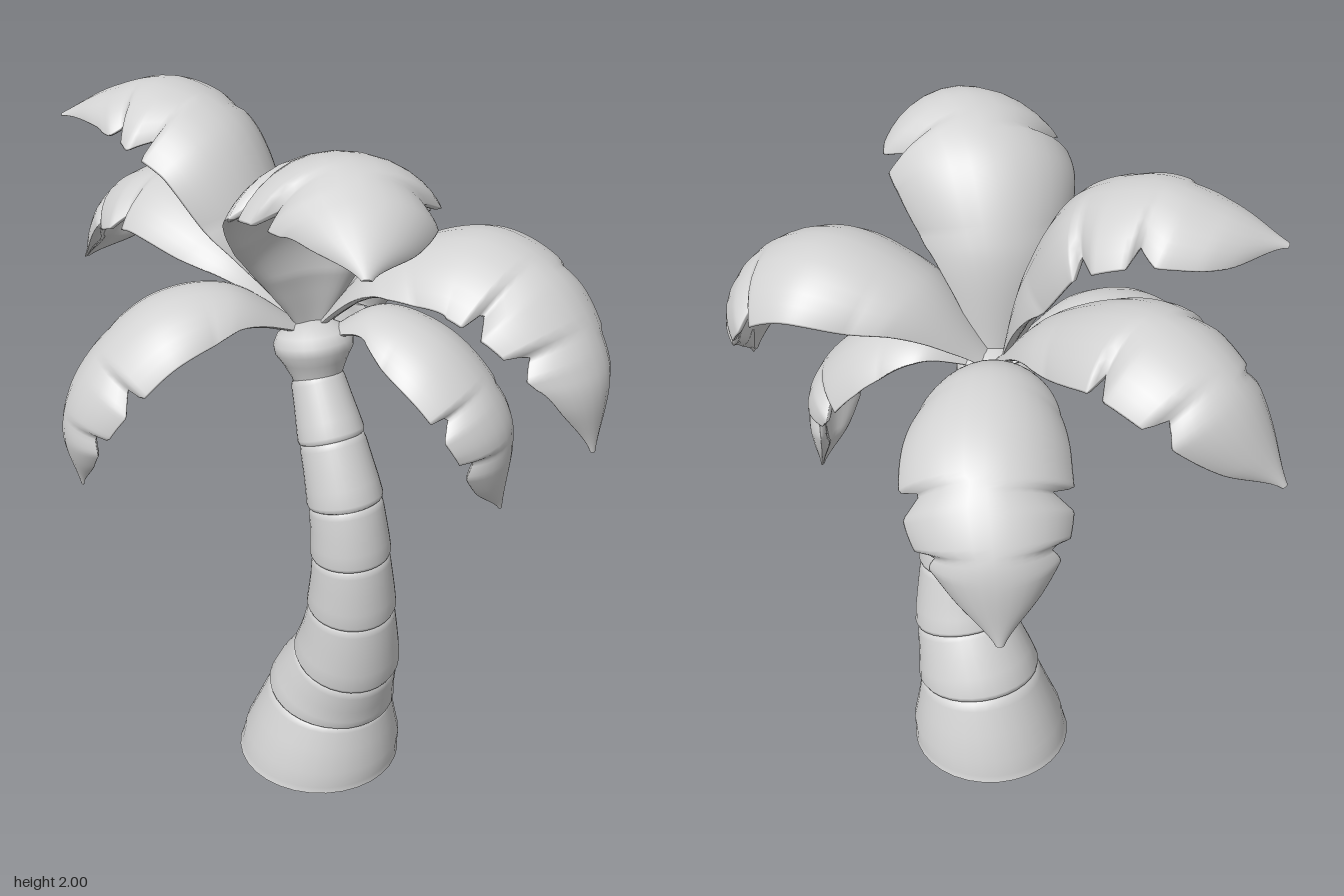
import * as THREE from 'three';

const V = (x, y, z) => new THREE.Vector3(x, y, z);

// Skin a list of equal-length rings (counter-clockwise about the path) and cap both ends.
function loft(rings) {
  const n = rings[0].length, pos = [], idx = [];
  rings.forEach(r => r.forEach(p => pos.push(p.x, p.y, p.z)));
  for (let i = 0; i < rings.length - 1; i++) {
    for (let j = 0; j < n; j++) {
      const a = i * n + j, b = i * n + (j + 1) % n;
      idx.push(a, b, b + n, a, b + n, a + n);
    }
  }
  for (const [ring, flip] of [[rings[0], true], [rings[rings.length - 1], false]]) {
    const c = ring.reduce((s, p) => s.add(p), V(0, 0, 0)).divideScalar(n);
    const o = pos.length / 3;
    [c, ...ring].forEach(p => pos.push(p.x, p.y, p.z));
    for (let j = 0; j < n; j++) {
      const a = o + 1 + j, b = o + 1 + (j + 1) % n;
      idx.push(o, flip ? b : a, flip ? a : b);
    }
  }
  const g = new THREE.BufferGeometry();
  g.setAttribute('position', new THREE.Float32BufferAttribute(pos, 3));
  g.setIndex(idx);
  g.computeVertexNormals();
  return g;
}

// Curved trunk of overlapping bark segments: joints are [x, y, z, radius].
const JOINTS = [
  [0.11, 0, -0.055, 0.244], [0.15, 0.235, -0.065, 0.182], [0.222, 0.4, -0.06, 0.15],
  [0.258, 0.6, -0.045, 0.122], [0.265, 0.78, -0.032, 0.108], [0.245, 0.94, -0.025, 0.102],
  [0.182, 1.11, -0.025, 0.09], [0.108, 1.27, -0.03, 0.072],
];
const BARK = [[0, 0.95], [0.02, 1.01], [0.08, 1.05], [0.3, 1.04], [0.6, 1.02], [0.9, 1.01], [0.97, 0.99], [1, 0.95]];

function trunkGeometry() {
  const path = new THREE.CatmullRomCurve3(JOINTS.map(j => V(j[0], j[1], j[2])));
  const N = JOINTS.length - 1, rings = [];
  for (let k = 0; k < N; k++) {
    for (const [f, swell] of BARK) {
      const t = (k + f) / N, c = path.getPoint(t);
      // Rings lie flat at the ground and turn square to the trunk higher up
      const T = path.getTangent(t).lerp(V(0, 1, 0), Math.max(0, 1 - t * N / 2)).normalize();
      const v = T.clone().cross(V(1, 0, 0)).normalize(), u = v.clone().cross(T);
      const flare = k === 0 && f < 0.1 ? 1 : swell;
      const r = THREE.MathUtils.lerp(JOINTS[k][3], JOINTS[k + 1][3], f) * flare;
      rings.push(Array.from({ length: 32 }, (_, j) => {
        const a = j / 32 * Math.PI * 2;
        return c.clone().addScaledVector(u, r * Math.cos(a)).addScaledVector(v, r * Math.sin(a));
      }));
    }
  }
  return loft(rings);
}

// Half width at even steps along a frond, from stem to blunt pointed tip.
const WIDTH = new THREE.SplineCurve(
  [0.14, 0.36, 0.62, 0.84, 0.96, 1, 1, 0.94, 0.8, 0.52, 0.05].map((w, i) => new THREE.Vector2(i / 10, w)));

// Torn edge: a short V cut, steep on the stem side.
const tear = (t, cuts) => cuts.reduce((w, c) => {
  const d = t < c ? (c - t) / 0.015 : (t - c) / 0.06;
  return w * (1 - 0.25 * Math.max(0, 1 - d));
}, 1);

// Arched leaf along a midrib, cupped downwards, with thickness and torn edges.
function frondGeometry({ rib, width, cuts }) {
  const path = new THREE.CatmullRomCurve3(rib.map(p => V(...p)));
  const chord = path.getPoint(1).sub(path.getPoint(0)).setY(0).normalize();
  const S = chord.cross(V(0, 1, 0)).normalize();
  const STEPS = 90, HALF = 8, rings = [];
  for (let i = 0; i <= STEPS; i++) {
    const t = i / STEPS, c = path.getPointAt(t), T = path.getTangentAt(t);
    const N = S.clone().cross(T).normalize();
    const side = T.clone().cross(N);
    const w = WIDTH.getPoint(t).y * width;
    const cup = 1.1 * Math.min(1, 0.4 + t * 2);
    const thick = 0.045 * Math.min(1, 2 * w / width) + 0.002;
    const point = (j, depth) => {
      const s = Math.sin(j / HALF * Math.PI / 2), a = cup * Math.abs(s);
      const R = w * tear(t, cuts[s < 0 ? 0 : 1]) / cup;
      const d = depth * Math.sqrt(1 - s ** 4);
      return c.clone()
        .addScaledVector(side, Math.sign(s) * (R - d) * Math.sin(a))
        .addScaledVector(N, -R * (1 - Math.cos(a)) - d * Math.cos(a));
    };
    const ring = [];
    for (let j = -HALF; j <= HALF; j++) ring.push(point(j, 0));
    for (let j = HALF - 1; j > -HALF; j--) ring.push(point(j, thick));
    rings.push(ring);
  }
  return loft(rings);
}

const FRONDS = {
  upperRightFrond: {
    rib: [[0.05, 1.4, -0.04], [-0.02, 1.7, 0], [-0.15, 1.92, 0.04], [-0.35, 2, 0.11], [-0.5, 1.96, 0.19], [-0.61, 1.88, 0.29]],
    width: 0.28, cuts: [[0.6, 0.76], [0.55, 0.72]],
  },
  upperLeftFrond: {
    rib: [[0.07, 1.4, -0.04], [0.09, 1.7, 0], [0.21, 1.91, 0.06], [0.41, 1.99, 0.14], [0.56, 1.94, 0.21], [0.69, 1.82, 0.31]],
    width: 0.3, cuts: [[0.6, 0.76], [0.55, 0.72]],
  },
  rightFrond: {
    rib: [[0.06, 1.4, -0.05], [-0.13, 1.6, -0.01], [-0.43, 1.72, 0.02], [-0.68, 1.63, 0.05], [-0.81, 1.37, 0.13]],
    width: 0.265, cuts: [[0.55, 0.75], [0.52, 0.72]],
  },
  frontFrond: {
    rib: [[0.06, 1.39, -0.04], [-0.03, 1.53, 0.16], [-0.11, 1.51, 0.35], [-0.19, 1.34, 0.52], [-0.22, 1.17, 0.575], [-0.22, 0.98, 0.53]],
    width: 0.235, cuts: [[0.6, 0.78], [0.55, 0.74]],
  },
  backRightFrond: {
    rib: [[0.07, 1.39, -0.05], [-0.11, 1.51, -0.21], [-0.31, 1.44, -0.39], [-0.46, 1.24, -0.49], [-0.48, 0.99, -0.49]],
    width: 0.265, cuts: [[0.6, 0.76], [0.58, 0.76]],
  },
  backLeftFrond: {
    rib: [[0.07, 1.4, -0.06], [0.21, 1.62, -0.18], [0.42, 1.71, -0.31], [0.63, 1.63, -0.38], [0.78, 1.43, -0.4], [0.8, 1.22, -0.37]],
    width: 0.3, cuts: [[0.6, 0.76], [0.57, 0.74]],
  },
  lowerLeftFrond: {
    rib: [[0.09, 1.38, -0.06], [0.21, 1.47, -0.15], [0.4, 1.42, -0.24], [0.55, 1.22, -0.32], [0.53, 0.94, -0.34]],
    width: 0.23, cuts: [[0.6, 0.78], [0.57, 0.76]],
  },
};

export function createModel() {
  const model = new THREE.Group();
  const grey = new THREE.MeshStandardMaterial({ color: 0xd2d2d2 });
  grey.name = 'stone grey';
  const add = (name, geometry) => {
    const mesh = new THREE.Mesh(geometry, grey);
    mesh.name = name;
    model.add(mesh);
    return mesh;
  };

  add('trunk', trunkGeometry());

  // Flared collar the fronds grow from
  const collar = [[0, 0], [0.062, 0], [0.07, 0.03], [0.088, 0.07], [0.106, 0.1], [0.108, 0.125], [0.095, 0.15], [0.05, 0.175], [0, 0.18]];
  const crown = add('crown', new THREE.LatheGeometry(collar.map(p => new THREE.Vector2(...p)), 28));
  crown.position.set(0.112, 1.245, -0.032);
  crown.rotation.z = 0.2;

  for (const [name, frond] of Object.entries(FRONDS)) add(name, frondGeometry(frond));
  return model;
}
